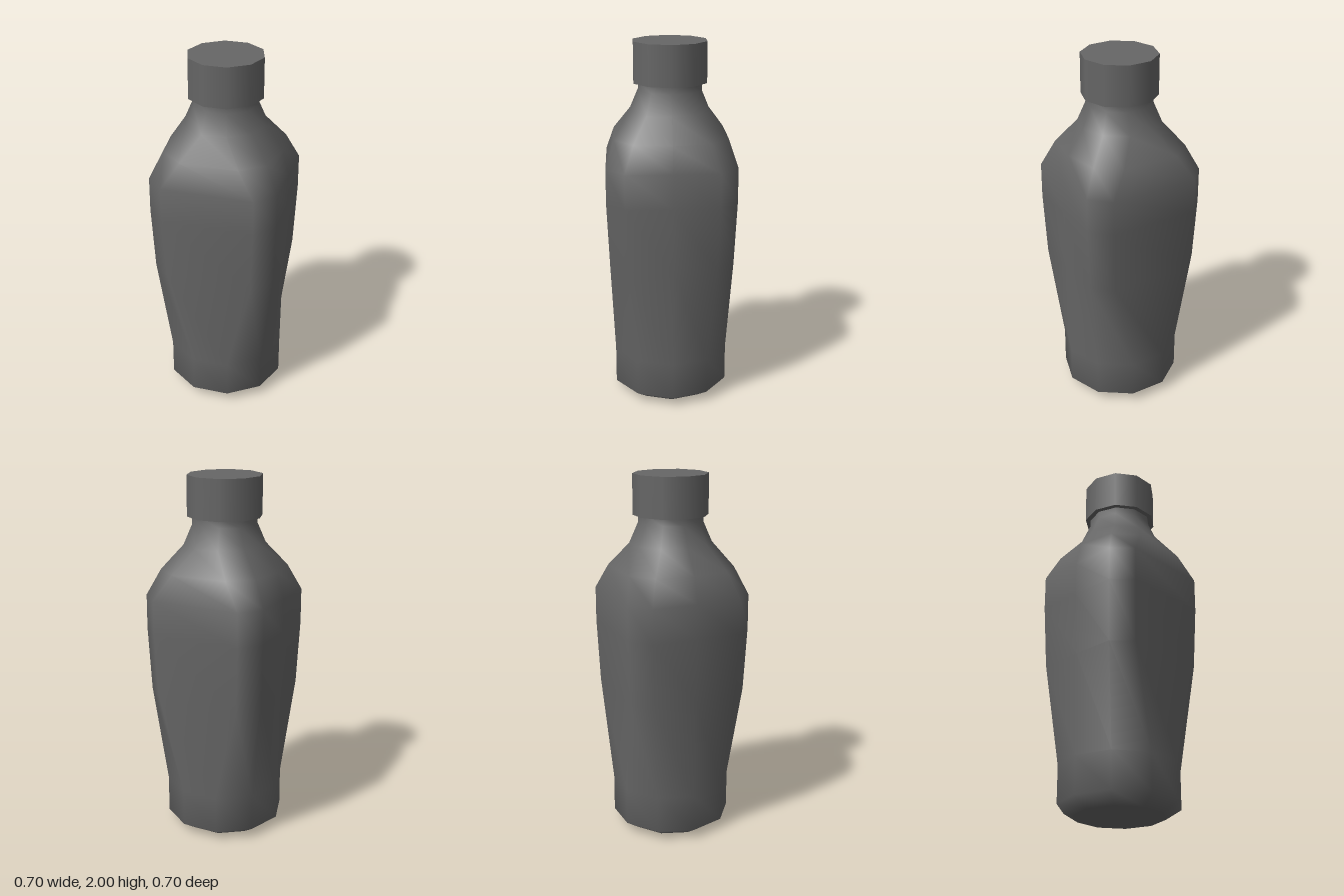
import * as THREE from 'three';

const SIDES = 10;

// One quadrant of a chamfered square, matching the corners of a ten-sided ring
const SQUARE = [[1, 0], [1, 0.714], [0.714, 1]];

function squarePoint(i) {
  const half = i % 10;
  if (half <= 2) return SQUARE[half];
  if (half <= 5) return [-SQUARE[5 - half][0], SQUARE[5 - half][1]];
  const [x, z] = squarePoint(half - 5);
  return [-x, -z];
}

// Height, half width, and how square the cross-section is (0 = ten-sided, 1 = chamfered square)
const RINGS = [
  [0, 0.245, 0],
  [0.055, 0.33, 0],
  [0.26, 0.33, 0],
  [0.82, 0.336, 0.97],
  [1.17, 0.35, 1],
  [1.36, 0.35, 1],
  [1.5, 0.313, 0.5],
  [1.63, 0.225, 0],
  [1.74, 0.177, 0],
  [1.79, 0.177, 0],
];

function bodyGeometry() {
  const positions = [];
  const index = [];
  for (const [y, r, square] of RINGS) {
    for (let i = 0; i < SIDES; i++) {
      const a = (i / SIDES) * Math.PI * 2;
      const [sx, sz] = squarePoint(i);
      positions.push(
        r * THREE.MathUtils.lerp(Math.cos(a), sx, square),
        y,
        r * THREE.MathUtils.lerp(Math.sin(a), sz, square)
      );
    }
  }
  // Walls between neighbouring rings
  for (let k = 0; k < RINGS.length - 1; k++) {
    for (let i = 0; i < SIDES; i++) {
      const a = k * SIDES + i;
      const b = k * SIDES + ((i + 1) % SIDES);
      index.push(a, a + SIDES, b + SIDES, a, b + SIDES, b);
    }
  }
  // Base
  const centre = positions.length / 3;
  positions.push(0, 0, 0);
  for (let i = 0; i < SIDES; i++) index.push(centre, i, (i + 1) % SIDES);

  const geometry = new THREE.BufferGeometry();
  geometry.setAttribute('position', new THREE.Float32BufferAttribute(positions, 3));
  geometry.setIndex(index);
  geometry.computeVertexNormals();
  return geometry;
}

export function createModel() {
  const group = new THREE.Group();
  group.name = 'bottle';
  const material = new THREE.MeshStandardMaterial({ color: 0x666666 });

  // Body with shoulders and neck
  const body = new THREE.Mesh(bodyGeometry(), material);
  body.name = 'body';
  group.add(body);

  // Screw cap, with a corner on the x axis
  const cap = new THREE.Mesh(
    new THREE.CylinderGeometry(0.205, 0.205, 0.22, SIDES, 1, false, Math.PI / 2),
    material
  );
  cap.name = 'cap';
  cap.position.y = 1.89;
  group.add(cap);

  return group;
}
